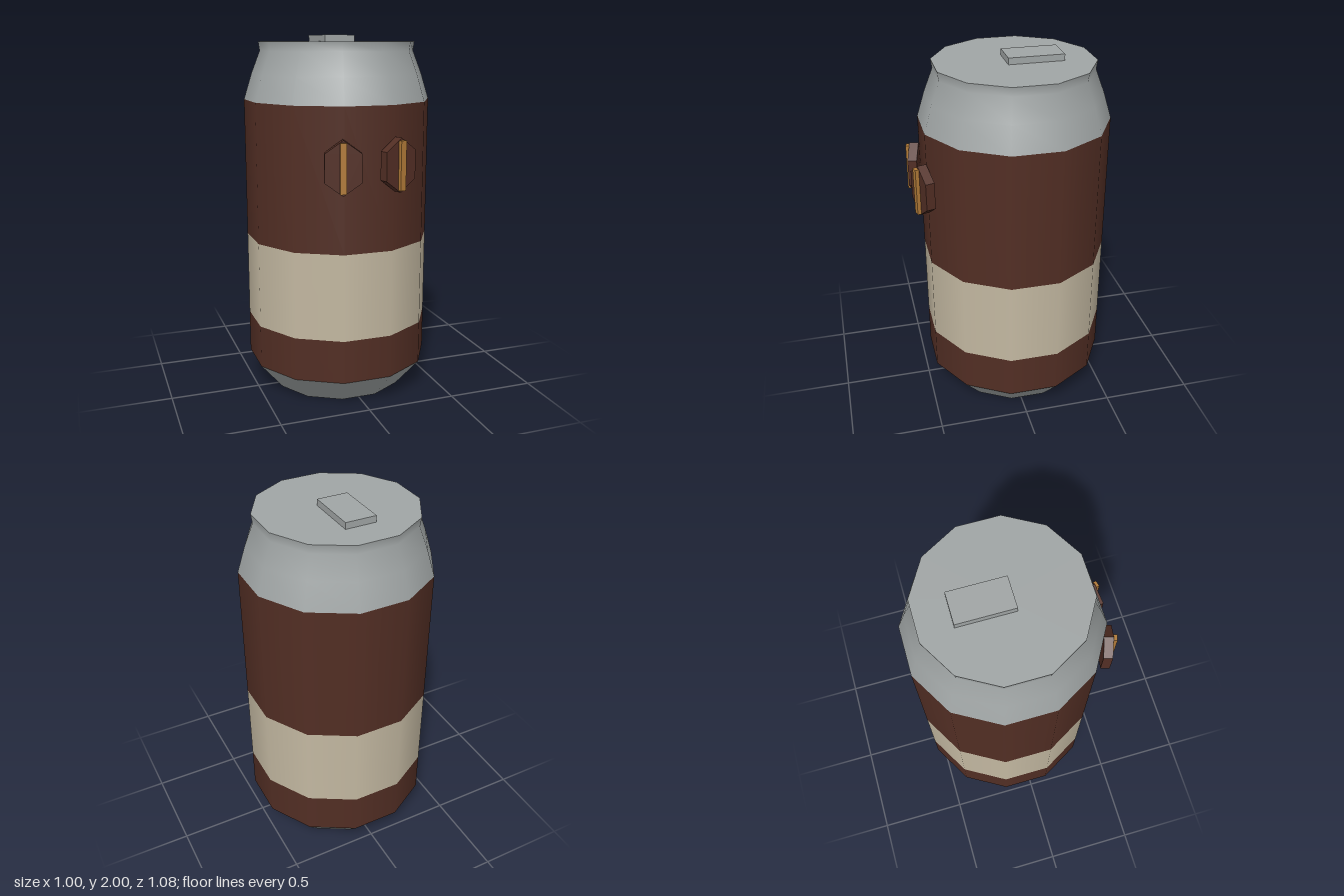
import * as THREE from 'three';

const SIDES = 12;
const PHASE = Math.PI / SIDES; // flat sides face the axes
const CORNER = 1 / Math.cos(PHASE); // flat distance to corner radius

const material = (name, color) => {
  const m = new THREE.MeshStandardMaterial({ color });
  m.name = name;
  return m;
};

export function createModel() {
  const metal = material('metal grey', 0xa0a5a5);
  const brown = material('dark brown', 0x522e24);
  const cream = material('cream', 0xc3b8a1);
  const gold = material('gold', 0xb07a38);

  const model = new THREE.Group();
  model.name = 'can';
  const add = (parent, name, geometry, mat, x = 0, y = 0, z = 0) => {
    const mesh = new THREE.Mesh(geometry, mat);
    mesh.name = name;
    mesh.position.set(x, y, z);
    parent.add(mesh);
    return mesh;
  };

  // Can body: stacked rings, each a [flat distance, height] profile
  const can = new THREE.Group();
  can.name = 'canBody';
  can.position.z = -0.04;
  model.add(can);
  const ring = (name, mat, profile) => add(can, name, new THREE.LatheGeometry(
    profile.map(([r, y]) => new THREE.Vector2(r * CORNER, y)), SIDES, PHASE), mat);
  ring('bottomTaper', metal, [[0.37, 0], [0.502, 0.16]]);
  ring('lowerBand', brown, [[0.502, 0.16], [0.502, 0.4]]);
  ring('creamBand', cream, [[0.502, 0.4], [0.502, 0.88]]);
  ring('upperBand', brown, [[0.502, 0.88], [0.502, 1.65]]);
  ring('neck', metal, [[0.502, 1.65], [0.46, 1.79], [0.413, 1.915], [0.42, 1.965]]);

  // Flat ends
  const disc = (r) => new THREE.CircleGeometry(r * CORNER, SIDES, PHASE);
  add(can, 'lid', disc(0.42).rotateX(-Math.PI / 2), metal, 0, 1.965);
  add(can, 'base', disc(0.37).rotateX(Math.PI / 2), metal);

  // Pull tab
  add(model, 'pullTab', new THREE.BoxGeometry(0.17, 0.04, 0.3), metal, 0, 1.98, -0.14);

  // Eyes: tall hexagonal plates with a gold slit, turned outward
  const hexagon = new THREE.Shape([[0, -0.143], [0.095, -0.075], [0.095, 0.075],
    [0, 0.143], [-0.095, 0.075], [-0.095, -0.075]].map(([x, y]) => new THREE.Vector2(x, y)));
  const plate = new THREE.ExtrudeGeometry(hexagon, { depth: 0.05, bevelEnabled: false });
  const slit = new THREE.BoxGeometry(0.034, 0.26, 0.02);
  for (const side of [-1, 1]) {
    const eye = new THREE.Group();
    eye.name = side > 0 ? 'leftEye' : 'rightEye';
    eye.position.set(side * 0.144, 1.345, 0.463);
    eye.rotation.y = side * 0.28;
    add(eye, 'eyePlate', plate, brown);
    add(eye, 'eyeSlit', slit, gold, 0, 0, 0.06);
    model.add(eye);
  }
  return model;
}
